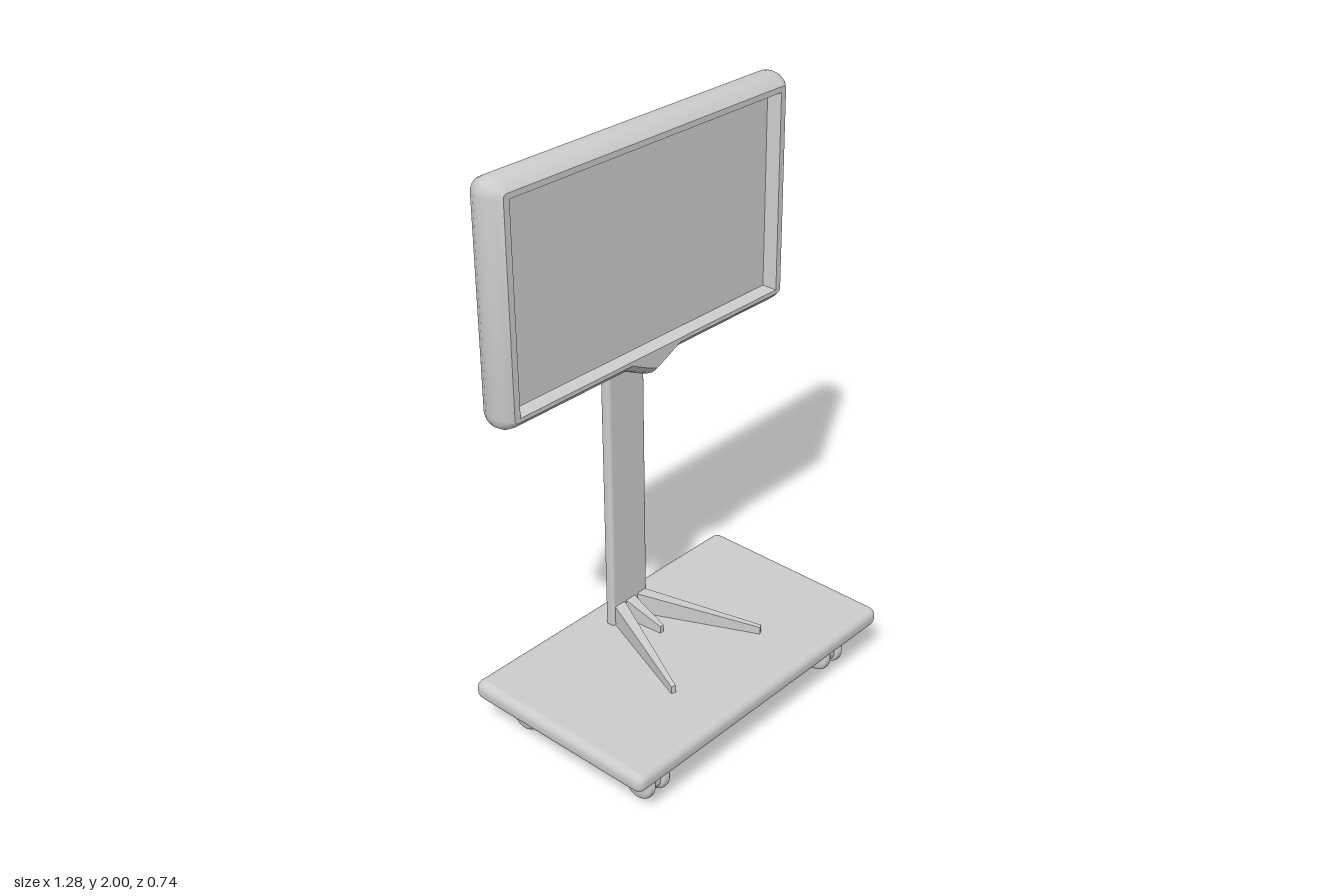
import * as THREE from 'three';
import { toCreasedNormals } from 'three/addons/utils/BufferGeometryUtils.js';
import { RoundedBoxGeometry } from 'three/addons/geometries/RoundedBoxGeometry.js';

const material = new THREE.MeshStandardMaterial({ color: 0xcccccc });

function add(parent, name, geometry, x = 0, y = 0, z = 0) {
  const mesh = new THREE.Mesh(geometry, material);
  mesh.name = name;
  mesh.position.set(x, y, z);
  parent.add(mesh);
  return mesh;
}

// Skin between closed loops of equal length (counter-clockwise seen from +z).
function loft(loops) {
  const n = loops[0].length;
  const index = [];
  for (let i = 0; i < loops.length - 1; i++) {
    for (let j = 0; j < n; j++) {
      const a = i * n + j, b = i * n + (j + 1) % n;
      index.push(a, b, b + n, a, b + n, a + n);
    }
  }
  const geometry = new THREE.BufferGeometry();
  geometry.setAttribute('position', new THREE.Float32BufferAttribute(loops.flat(2), 3));
  geometry.setIndex(index);
  return toCreasedNormals(geometry, 0.6);
}

// Screen outline: rounded rectangle with a pointed chin, pulled in by d.
function screenOutline(d) {
  const w = 0.638 - d, top = 2 - d, bottom = 1.22 + d, r = Math.max(0.05 - d, 0.014);
  const points = [];
  const corner = (cx, cy, start) => {
    for (let i = 0; i <= 4; i++) {
      const a = start + (i / 4) * Math.PI / 2;
      points.push(new THREE.Vector2(cx + r * Math.cos(a), cy + r * Math.sin(a)));
    }
  };
  corner(-w + r, bottom + r, Math.PI);
  for (const [x, drop] of [[-0.11, 0], [-0.035, 0.036], [0, 0.05], [0.035, 0.036], [0.11, 0]]) {
    points.push(new THREE.Vector2(x, bottom - drop));
  }
  corner(w - r, bottom + r, -Math.PI / 2);
  corner(w - r, top - r, 0);
  corner(-w + r, top - r, Math.PI / 2);
  return points;
}

const rectangle = (w, y0, y1) =>
  [[-w, y0], [w, y0], [w, y1], [-w, y1]].map(([x, y]) => new THREE.Vector2(x, y));
const atZ = (points, z) => points.map((p) => [p.x, p.y, z]);

function buildScreen() {
  const screen = new THREE.Group();
  screen.name = 'screen';
  const mid = -0.167, half = 0.064;
  // Rounded rim from back to front
  const rim = [[-1, 0.036], [-0.72, 0.016], [-0.35, 0.003], [0, 0], [0.35, 0.003], [0.72, 0.016], [1, 0.036]];
  add(screen, 'housingRim', loft(rim.map(([t, d]) => atZ(screenOutline(d), mid + t * half))));

  add(screen, 'housingBack', new THREE.ShapeGeometry(new THREE.Shape(screenOutline(0.036))).rotateY(Math.PI),
    0, 0, mid - half);

  const opening = rectangle(0.58, 1.27, 1.945), glass = rectangle(0.555, 1.285, 1.93);
  const bezel = new THREE.Shape(screenOutline(0.036));
  bezel.holes.push(new THREE.Path(opening));
  add(screen, 'bezel', new THREE.ShapeGeometry(bezel), 0, 0, mid + half);

  // Sloped recess walls and the display panel
  const glassZ = mid + half - 0.035;
  add(screen, 'recessWalls', loft([atZ(opening, mid + half), atZ(glass, glassZ)]));
  add(screen, 'displayPanel', new THREE.ShapeGeometry(new THREE.Shape(glass)), 0, 0, glassZ);

  // Control buttons on the back
  for (const x of [0.459, 0.507, 0.555]) {
    add(screen, 'button', studGeometry(0.013, 0.008), x, 1.335, mid - half);
  }
  return screen;
}

// Low domed stud facing backwards.
function studGeometry(r, h) {
  const profile = [[r, -0.006], [r, h * 0.5], [r * 0.8, h * 0.85], [0, h]];
  const lathe = new THREE.LatheGeometry(profile.map(([x, y]) => new THREE.Vector2(x, y)), 16);
  return toCreasedNormals(lathe.rotateX(-Math.PI / 2), 0.8);
}

function buildBracket() {
  const bracket = new THREE.Group();
  bracket.name = 'wallBracket';
  // Plan of the bent plate, right half from the outside to the middle and back
  const outer = [[0.353, 0.247], [0.353, 0.266], [0.344, 0.275], [0.113, 0.275], [0.08, 0.318]];
  const inner = [[0.075, 0.281], [0.107, 0.238], [0.344, 0.238]];
  const mirror = (list) => list.map(([x, y]) => [-x, y]).reverse();
  const plan = [...outer, ...mirror(outer), ...mirror(inner), ...inner];
  const bevel = 0.008;
  const plate = new THREE.ExtrudeGeometry(new THREE.Shape(plan.map(([x, y]) => new THREE.Vector2(x, y))), {
    depth: 0.165 - 2 * bevel, bevelThickness: bevel, bevelSize: bevel, bevelOffset: -bevel, bevelSegments: 2,
  });
  add(bracket, 'bracketPlate', toCreasedNormals(plate.rotateX(-Math.PI / 2), 0.6), 0, 1.475 + bevel, 0);

  for (const [x, z] of [[0.327, -0.275], [0.045, -0.318]]) {
    for (const side of [-1, 1]) {
      for (const dy of [-0.052, 0.052]) {
        add(bracket, 'bolt', studGeometry(0.014, 0.009), side * x, 1.557 + dy, z);
      }
    }
  }
  return bracket;
}

// Tapering brace lying on the base, from the column foot to its tip.
function braceGeometry(from, to) {
  const length = Math.hypot(to[0] - from[0], to[1] - from[1]);
  const geometry = new THREE.BoxGeometry(1, 1, 1);
  const p = geometry.attributes.position;
  for (let i = 0; i < p.count; i++) {
    const tip = p.getZ(i) > 0;
    p.setXYZ(i, p.getX(i) * (tip ? 0.016 : 0.042),
      p.getY(i) > 0 ? (tip ? 0.232 : 0.281) : 0.2, tip ? length : 0);
  }
  geometry.rotateY(Math.atan2(to[0] - from[0], to[1] - from[1]));
  geometry.translate(from[0], 0, from[1]);
  return toCreasedNormals(geometry, 0.3);
}

function buildCaster(x, z, stemShift) {
  const caster = new THREE.Group();
  caster.name = 'caster';
  caster.position.set(x, 0.055, z);
  // Two rounded wheels on a narrower hub
  const profile = [[0, -0.021], [0.038, -0.021], [0.048, -0.017], [0.054, -0.008], [0.055, 0],
    [0.054, 0.008], [0.048, 0.017], [0.038, 0.021], [0, 0.021]].map(([r, y]) => new THREE.Vector2(r, y));
  for (const side of [-1, 1]) {
    const wheel = new THREE.LatheGeometry(profile, 32).rotateZ(Math.PI / 2);
    add(caster, 'wheel', toCreasedNormals(wheel, 0.8), side * 0.033);
  }
  add(caster, 'hub', new THREE.CylinderGeometry(0.042, 0.042, 0.04, 24).rotateZ(Math.PI / 2));
  add(caster, 'stem', new THREE.CylinderGeometry(0.01, 0.01, 0.075, 16), 0, 0.053, stemShift);
  return caster;
}

export function createModel() {
  const model = new THREE.Group();
  model.name = 'mobileDisplayStand';

  model.add(buildScreen(), buildBracket());
  add(model, 'column', new RoundedBoxGeometry(0.17, 1.5, 0.038, 3, 0.014), 0, 0.945, -0.253);
  add(model, 'basePlate', new RoundedBoxGeometry(1.206, 0.07, 0.736, 4, 0.03), 0, 0.17, 0);

  // Braces at the foot of the column
  for (const side of [-1, 1]) {
    add(model, 'sideBrace', braceGeometry([side * 0.05, -0.238], [side * 0.219, 0.16]));
  }
  add(model, 'middleBrace', braceGeometry([0, -0.238], [0, -0.09]));

  for (const side of [-1, 1]) {
    model.add(buildCaster(side * 0.445, 0.255, 0.009), buildCaster(side * 0.445, -0.253, -0.009));
  }
  return model;
}
